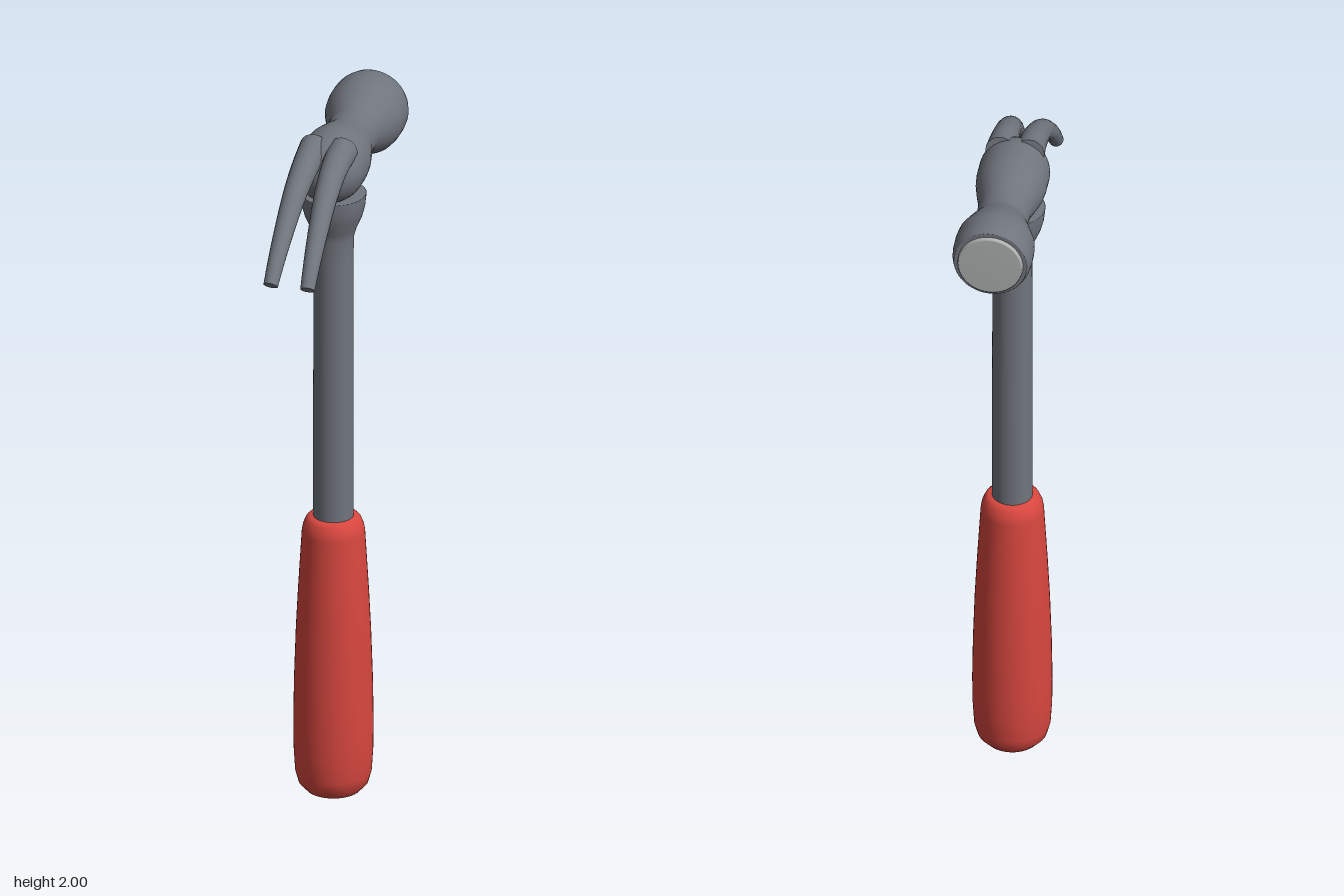
import * as THREE from 'three';

const mat = (name, color) => {
  const m = new THREE.MeshStandardMaterial({ color });
  m.name = name;
  return m;
};

// Turned part: profile is a list of [radius, height], from bottom to top
function turned(name, profile, material) {
  const points = profile.map(([r, h]) => new THREE.Vector2(r, h));
  const mesh = new THREE.Mesh(new THREE.LatheGeometry(points, 48), material);
  mesh.name = name;
  return mesh;
}

// Curved claw prong, tapering to the tip and closed at both ends
function prong(name, side, material) {
  const path = new THREE.CatmullRomCurve3([
    [0.040, 1.954, 0.018], [0.040, 1.940, 0.10], [0.043, 1.898, 0.20],
    [0.047, 1.825, 0.30], [0.050, 1.762, 0.37], [0.052, 1.715, 0.413],
  ].map(([x, y, z]) => new THREE.Vector3(side * x, y, z)));
  const rings = 28, sides = 20;
  const radius = (t) => 0.041 - 0.021 * t;
  const tube = new THREE.TubeGeometry(path, rings, 1, sides);
  const pos = tube.attributes.position;
  const v = new THREE.Vector3();
  for (let i = 0; i <= rings; i++) {
    const centre = path.getPointAt(i / rings);
    for (let j = 0; j <= sides; j++) {
      const k = i * (sides + 1) + j;
      v.fromBufferAttribute(pos, k).sub(centre).multiplyScalar(radius(i / rings)).add(centre);
      pos.setXYZ(k, v.x, v.y, v.z);
    }
  }
  const group = new THREE.Group();
  group.name = name;
  group.add(new THREE.Mesh(tube, material));
  for (const t of [0, 1]) {
    const cap = new THREE.Mesh(new THREE.CircleGeometry(radius(t), sides), material);
    const centre = path.getPointAt(t);
    cap.position.copy(centre);
    cap.lookAt(centre.clone().addScaledVector(path.getTangentAt(t), t ? 1 : -1));
    group.add(cap);
  }
  group.children.forEach((m, i) => { m.name = ['prongBody', 'prongRoot', 'prongTip'][i]; });
  return group;
}

export function createModel() {
  const steel = mat('steel', 0x70757d);
  const polished = mat('polishedSteel', 0xacafae);
  const rubber = mat('redRubber', 0xd8473f);
  const model = new THREE.Group();
  model.name = 'hammer';

  // Handle: rubber grip and flared steel shaft
  const handle = new THREE.Group();
  handle.name = 'handle';
  handle.position.z = -0.027;
  handle.add(turned('grip', [
    [0, 0.004], [0.015, 0], [0.045, 0.007], [0.075, 0.02], [0.095, 0.042], [0.104, 0.075],
    [0.108, 0.14], [0.109, 0.22], [0.107, 0.35], [0.102, 0.5], [0.096, 0.62],
    [0.086, 0.79], [0.083, 0.808], [0.075, 0.827], [0.066, 0.836], [0.05, 0.838], [0, 0.838],
  ], rubber));
  handle.add(turned('shaft', [
    [0.055, 0.8], [0.055, 1.2], [0.054, 1.6], [0.056, 1.675], [0.063, 1.7],
    [0.078, 1.735], [0.086, 1.765], [0.09, 1.802], [0.088, 1.804], [0, 1.804],
  ], steel));
  model.add(handle);

  // Head, turned about the z axis, with a domed front
  const head = new THREE.Group();
  head.name = 'head';
  head.position.y = 1.893;
  head.rotation.x = Math.PI / 2;
  const dome = [];
  for (let i = 1; i <= 10; i++) {
    const a = (i / 10) * Math.PI / 2;
    dome.push([0.097 * Math.cos(a), 0.008 + 0.097 * Math.sin(a)]);
  }
  head.add(turned('headBody', [
    [0, -0.416], [0.099, -0.416], [0.101, -0.414], [0.107, -0.395], [0.109, -0.375],
    [0.109, -0.34], [0.106, -0.315], [0.095, -0.285], [0.074, -0.235], [0.072, -0.225],
    [0.071, -0.19], [0.073, -0.155], [0.085, -0.11], [0.094, -0.07], [0.097, -0.04],
    [0.097, 0.008], ...dome,
  ], steel));
  head.add(turned('strikingFace', [
    [0.09, -0.417], [0.09, -0.418],
  ].length ? [[0, -0.428], [0.085, -0.428], [0.088, -0.426], [0.09, -0.414]] : [], polished));
  model.add(head);

  // Split claw
  model.add(prong('leftClaw', 1, steel), prong('rightClaw', -1, steel));
  return model;
}
